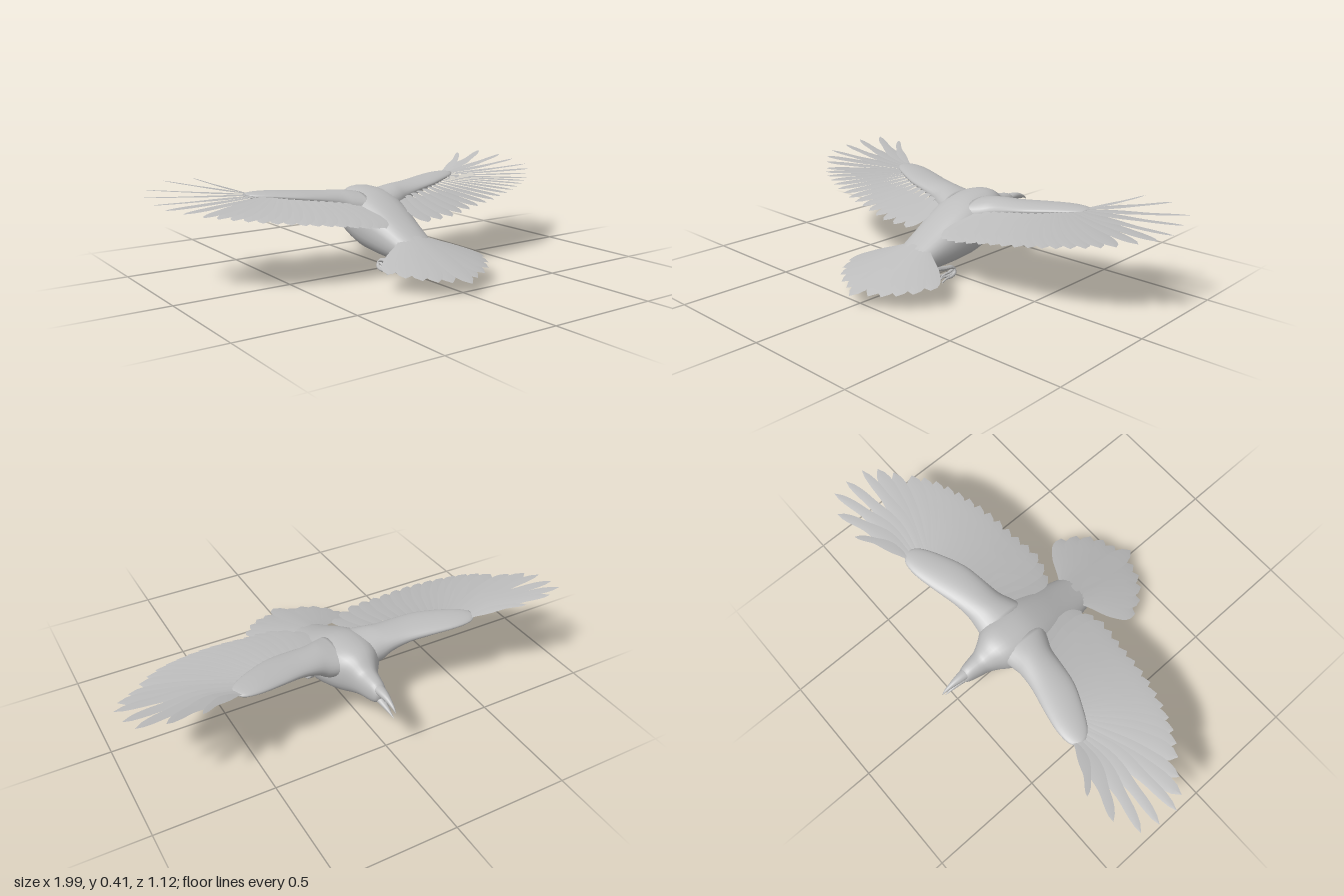
import * as THREE from 'three';

const V = (x, y, z) => new THREE.Vector3(x, y, z);
const grey = new THREE.MeshStandardMaterial({ color: 0xbcbcbc, side: THREE.DoubleSide });
grey.name = 'plumage grey';

// Skin over rows of points; closed rows wrap round and get end caps
function skin(rows, closed) {
  const n = rows[0].length, pos = [], index = [];
  rows.forEach(r => r.forEach(p => pos.push(p.x, p.y, p.z)));
  const cols = closed ? n : n - 1;
  for (let i = 0; i < rows.length - 1; i++) {
    for (let j = 0; j < cols; j++) {
      const k = (j + 1) % n, a = i * n, b = a + n;
      index.push(a + j, a + k, b + j, a + k, b + k, b + j);
    }
  }
  if (closed) {
    const last = (rows.length - 1) * n;
    for (let j = 1; j < n - 1; j++) index.push(0, j + 1, j, last, last + j, last + j + 1);
  }
  const g = new THREE.BufferGeometry();
  g.setAttribute('position', new THREE.Float32BufferAttribute(pos, 3));
  g.setIndex(index);
  g.computeVertexNormals();
  return g;
}

// Loft along z through sections [z, yBottom, yTop, xCentre, halfWidth]
function loft(sections, steps = 1, power = 1) {
  const smooth = (f) => new THREE.CatmullRomCurve3(sections.map(f), false, 'catmullrom', 0.5);
  const edges = smooth(s => V(s[0], s[1], s[2])), sides = smooth(s => V(s[0], s[3], s[4]));
  const rows = [], count = (sections.length - 1) * steps;
  const round = c => Math.sign(c) * Math.abs(c) ** power;
  for (let i = 0; i <= count; i++) {
    const e = edges.getPoint(i / count), w = sides.getPoint(i / count), row = [];
    for (let j = 0; j < 28; j++) {
      const a = j / 28 * Math.PI * 2;
      row.push(V(w.y + w.z * round(Math.cos(a)),
        (e.y + e.z) / 2 + (e.z - e.y) / 2 * round(Math.sin(a)), e.x));
    }
    rows.push(row);
  }
  return skin(rows, true);
}

// Flat, slightly ridged feather from root to tip
function feather(root, tip, width, { bend = 0, finger = false, roll = 0 } = {}) {
  const side = tip.clone().sub(root).cross(V(0, 1, 0)).normalize();
  side.y += roll;
  const rows = [], N = 14;
  for (let i = 0; i <= N; i++) {
    const t = i / N, s = Math.max(0, (t - 0.75) / 0.25);
    let w = 0.4 + 0.6 * THREE.MathUtils.smoothstep(t, 0, finger ? 0.35 : 0.6);
    if (finger) w *= 1 - 0.4 * THREE.MathUtils.smoothstep(t, 0.4, 0.7);
    w *= width / 2 * (1 - s * s) ** 0.65;
    const c = root.clone().lerp(tip, t).addScaledVector(side, bend * 4 * t * (1 - t));
    rows.push([-1, 0, 1].map(k => {
      const p = c.clone().addScaledVector(side, k * w);
      if (k === 0) p.y += w * 0.08;
      return p;
    }));
  }
  return skin(rows, false);
}

// Tapered round tube through a few points
function taperTube(points, r0, r1) {
  const seg = 14, rad = 8;
  const g = new THREE.TubeGeometry(new THREE.CatmullRomCurve3(points), seg, 1, rad);
  const path = g.parameters.path, p = g.attributes.position;
  for (let i = 0; i < p.count; i++) {
    const t = Math.floor(i / (rad + 1)) / seg, c = path.getPointAt(t);
    const v = V(0, 0, 0).fromBufferAttribute(p, i).sub(c).multiplyScalar(r0 + (r1 - r0) * t).add(c);
    p.setXYZ(i, v.x, v.y, v.z);
  }
  g.computeVertexNormals();
  return g;
}

// Mirror across x, turning the triangles round again
function mirrored(g) {
  const m = g.clone().scale(-1, 1, 1), ix = m.index.array;
  for (let i = 0; i < ix.length; i += 3) [ix[i], ix[i + 1]] = [ix[i + 1], ix[i]];
  m.computeVertexNormals();
  return m;
}

export function createModel() {
  const bird = new THREE.Group();
  bird.name = 'flyingBird';
  const add = (name, g) => {
    const m = new THREE.Mesh(g, grey);
    m.name = name;
    bird.add(m);
  };
  const addPair = (name, g) => {
    add(name + 'Left', g);
    add(name + 'Right', mirrored(g));
  };

  // Head and body
  add('body', loft([
    [-0.453, 0.215, 0.235, 0, 0.01], [-0.445, 0.195, 0.252, 0, 0.025],
    [-0.42, 0.178, 0.272, 0, 0.035], [-0.38, 0.167, 0.28, 0, 0.044],
    [-0.34, 0.157, 0.287, 0, 0.053], [-0.30, 0.143, 0.315, 0, 0.075],
    [-0.26, 0.128, 0.331, 0, 0.103], [-0.20, 0.108, 0.335, 0, 0.127],
    [-0.10, 0.075, 0.322, 0, 0.138], [0, 0.06, 0.278, 0, 0.127],
    [0.10, 0.053, 0.222, 0, 0.107], [0.20, 0.053, 0.168, 0, 0.088],
    [0.30, 0.062, 0.118, 0, 0.058], [0.38, 0.07, 0.08, 0, 0.02],
  ], 3, 0.88));

  // Open beak
  add('upperBeak', loft([
    [-0.558, 0.217, 0.22, 0, 0.001], [-0.54, 0.224, 0.238, 0, 0.006],
    [-0.50, 0.23, 0.257, 0, 0.013], [-0.46, 0.232, 0.265, 0, 0.02],
    [-0.42, 0.23, 0.266, 0, 0.024],
  ], 3));
  add('lowerBeak', loft([
    [-0.547, 0.182, 0.185, 0, 0.001], [-0.50, 0.187, 0.203, 0, 0.009],
    [-0.46, 0.19, 0.216, 0, 0.016], [-0.42, 0.192, 0.228, 0, 0.022],
  ], 3));

  // Wing arms: [x, zFront, zBack, yBottom, yTop]
  const arm = [
    [0.05, -0.28, -0.04, 0.20, 0.32], [0.12, -0.268, -0.07, 0.20, 0.332],
    [0.17, -0.265, -0.095, 0.235, 0.335], [0.25, -0.275, -0.11, 0.27, 0.338],
    [0.35, -0.30, -0.13, 0.293, 0.345], [0.45, -0.32, -0.175, 0.31, 0.35],
    [0.52, -0.318, -0.215, 0.32, 0.349], [0.555, -0.295, -0.25, 0.33, 0.344],
  ].map(([x, f, b, lo, hi]) => [x, lo, hi, -(f + b) / 2, (b - f) / 2]);
  addPair('wingArm', loft(arm, 3).rotateY(Math.PI / 2));

  // Spread primary feathers at the wing tips
  const fingers = [
    [0.73, 0.41, -0.415], [0.865, 0.412, -0.405], [0.965, 0.39, -0.352],
    [0.99, 0.372, -0.275], [0.997, 0.355, -0.185], [0.965, 0.34, -0.125], [0.91, 0.327, -0.08],
  ];
  fingers.forEach((tip, i) => {
    const root = V(0.53 - i * 0.008, 0.339 - i * 0.001, -0.295 + i * 0.011);
    addPair('primaryFeather' + (i + 1), feather(root, V(...tip), i ? 0.068 : 0.045,
      { bend: i < 5 ? 0.02 : 0.008, finger: i < 5, roll: 0.06 }));
  });

  // Trailing secondary feathers
  const roots = new THREE.CatmullRomCurve3([
    V(0.49, 0.333, -0.22), V(0.42, 0.328, -0.2), V(0.3, 0.315, -0.16), V(0.14, 0.29, -0.12)]);
  const tips = new THREE.CatmullRomCurve3([
    V(0.85, 0.315, -0.025), V(0.78, 0.307, 0.03), V(0.66, 0.29, 0.085), V(0.5, 0.268, 0.13),
    V(0.35, 0.247, 0.15), V(0.2, 0.225, 0.168), V(0.11, 0.21, 0.135)]);
  for (let i = 0; i < 15; i++) {
    addPair('secondaryFeather' + (i + 1),
      feather(roots.getPoint(i / 14), tips.getPointAt(i / 14), 0.085, { roll: 0.08, bend: 0.006 }));
  }

  // Fanned tail, middle feather on top
  const tail = [
    [0, 0.05, 0.557], [0.065, 0.054, 0.515], [0.12, 0.06, 0.495],
    [0.17, 0.067, 0.46], [0.215, 0.073, 0.41], [0.25, 0.08, 0.345],
  ];
  tail.forEach((tip, i) => {
    const g = feather(V(i * 0.012, 0.182 - i * 0.005, 0.16 + i * 0.004), V(...tip), 0.088);
    if (i) addPair('tailFeather' + i, g);
    else add('tailFeatherMiddle', g);
  });

  // Tucked legs with curled toes
  addPair('leg', taperTube([V(0.065, 0.06, 0.13), V(0.067, 0.052, 0.08), V(0.07, 0.046, 0.035),
    V(0.07, 0.035, 0.022)], 0.012, 0.009));
  [-1, 0, 1].forEach((k, i) => {
    addPair('toe' + (i + 1), taperTube([V(0.07, 0.038, 0.022), V(0.07 + k * 0.009, 0.02, 0.025),
      V(0.07 + k * 0.018, 0.012, 0.06), V(0.07 + k * 0.022, 0.014, 0.09),
      V(0.07 + k * 0.024, 0.004, 0.12)], 0.009, 0.003));
  });
  addPair('hindToe', taperTube([V(0.07, 0.038, 0.025), V(0.072, 0.028, 0.055),
    V(0.072, 0.027, 0.08), V(0.072, 0.018, 0.105)], 0.008, 0.003));

  return bird;
}
